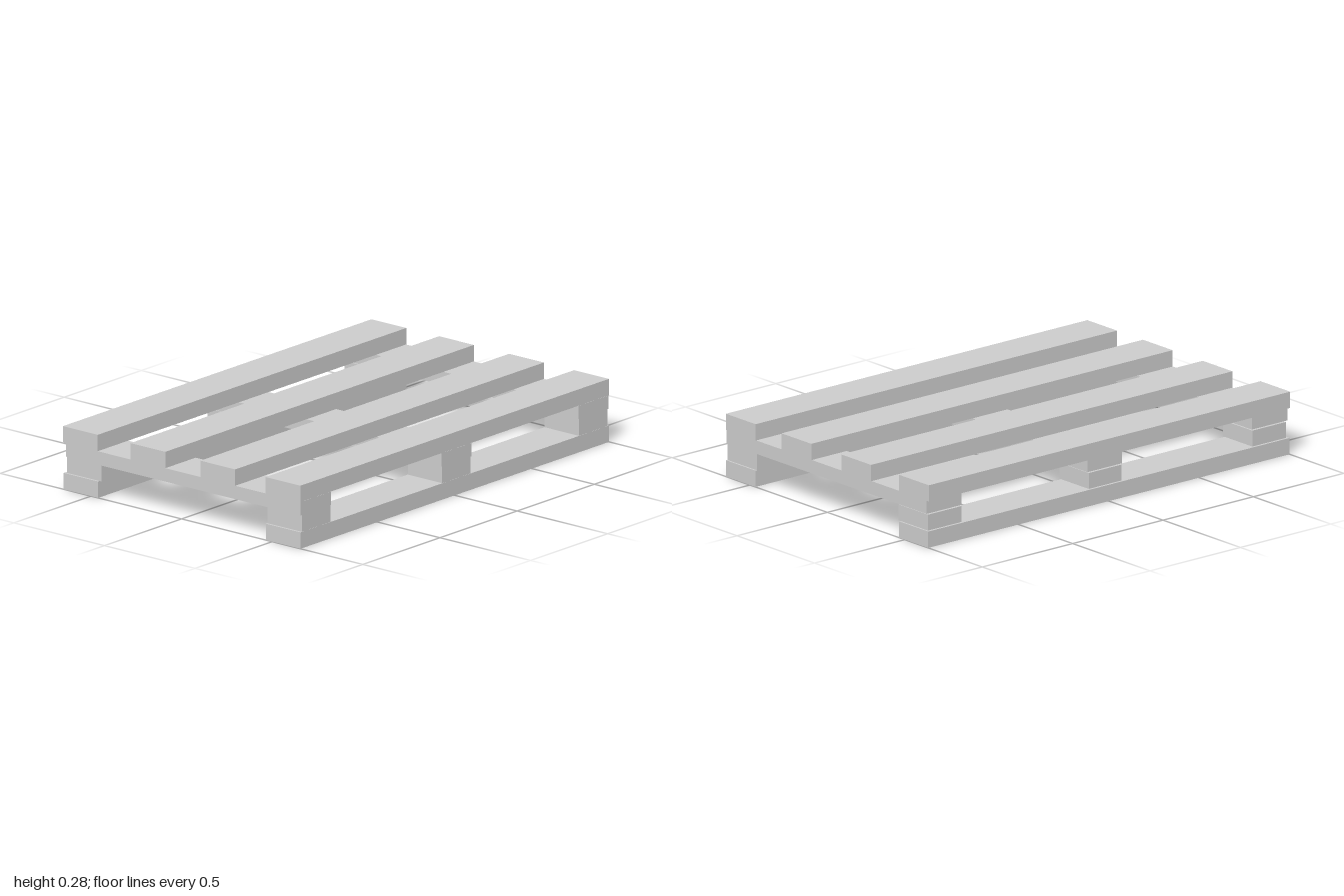
import * as THREE from 'three';

export function createModel() {
  const pallet = new THREE.Group();
  pallet.name = 'pallet';

  const paleGrey = new THREE.MeshStandardMaterial({ color: 0xcccccc });
  paleGrey.name = 'paleGrey';

  // Adds a plank spanning the given [min, max] ranges.
  function plank(name, [x0, x1], [y0, y1], [z0, z1]) {
    const mesh = new THREE.Mesh(new THREE.BoxGeometry(x1 - x0, y1 - y0, z1 - z0), paleGrey);
    mesh.position.set((x0 + x1) / 2, (y0 + y1) / 2, (z0 + z1) / 2);
    mesh.name = name;
    pallet.add(mesh);
  }

  // Four deck boards across the top
  for (const z of [0.559, 0.2, -0.186, -0.559]) {
    plank('deckBoard', [-1, 1], [0.205, 0.277], [z - 0.096, z + 0.096]);
  }

  // Three stringers running front to back under the deck
  for (const span of [[-1, -0.803], [-0.085, 0.107], [0.803, 0.997]]) {
    plank('stringer', span, [0.146, 0.205], [-0.637, 0.656]);
  }

  // Front and back rows of blocks, slightly offset from the boards
  for (const span of [[-0.99, -0.803], [-0.08, 0.102], [0.806, 0.992]]) {
    plank('frontBlock', span, [0.072, 0.146], [0.465, 0.655]);
    plank('backBlock', span, [0.072, 0.142], [-0.64, -0.45]);
  }

  // Two base boards on the ground
  plank('frontBaseBoard', [-1, 1], [0, 0.072], [0.465, 0.656]);
  plank('backBaseBoard', [-1, 1], [0, 0.072], [-0.651, -0.461]);

  return pallet;
}
